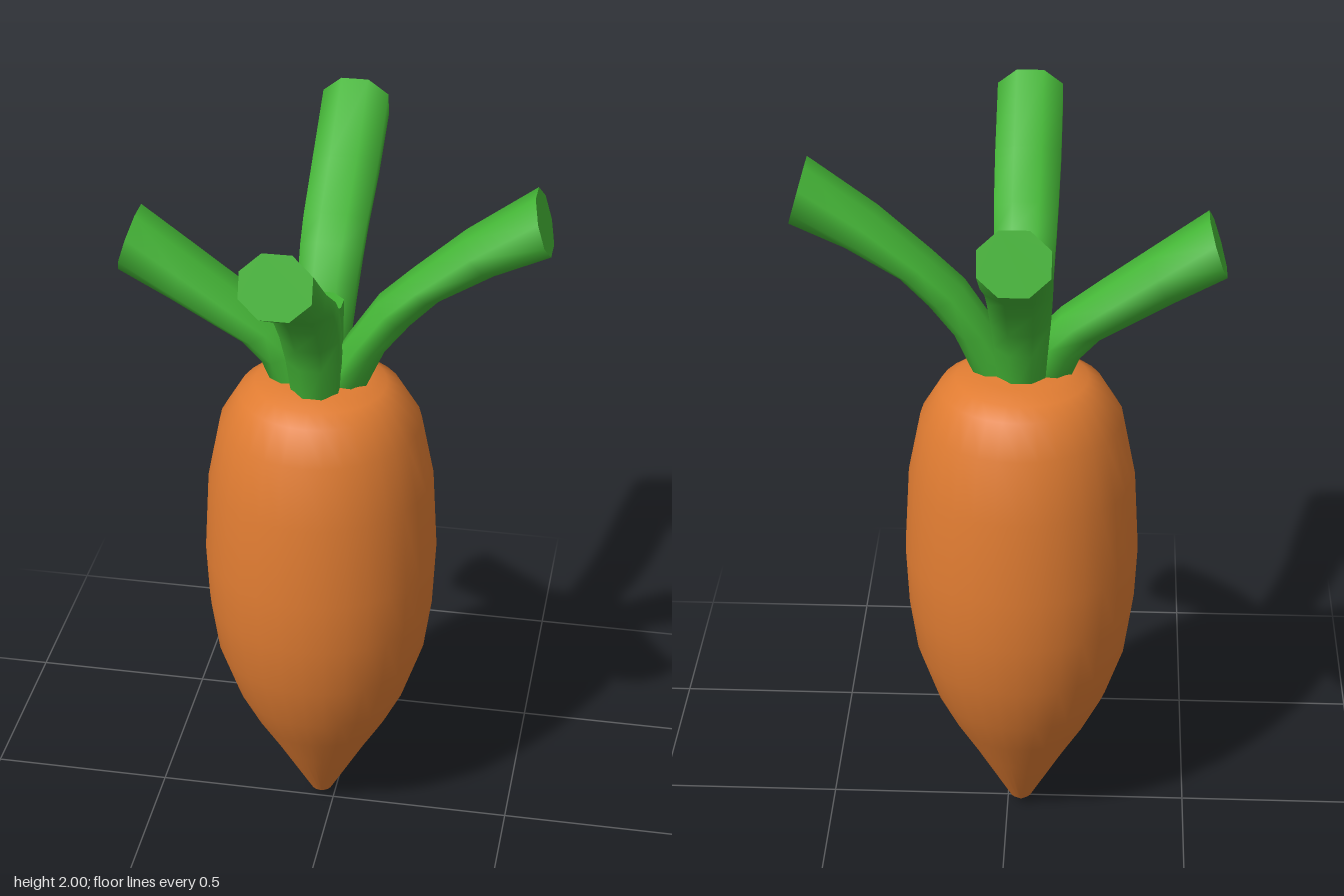
import * as THREE from 'three';

const SIDES = 8;

// Stalk grown along +x. Each station: upper edge (r, y), lower edge (r, y), half width.
function stalkGeometry(stations) {
  const pos = [], index = [];
  const k = 1 / Math.cos(Math.PI / SIDES);
  const addRing = ([ur, uy, lr, ly, w]) => {
    for (let j = 0; j < SIDES; j++) {
      const a = ((j + 0.5) / SIDES) * Math.PI * 2;
      const c = Math.cos(a) * k, s = Math.sin(a) * k;
      pos.push((ur + lr) / 2 + c * (ur - lr) / 2, (uy + ly) / 2 + c * (uy - ly) / 2, s * w);
    }
  };
  stations.forEach(addRing);
  for (let i = 0; i < stations.length - 1; i++) {
    for (let j = 0; j < SIDES; j++) {
      const n = (j + 1) % SIDES;
      const a = i * SIDES + j, b = i * SIDES + n;
      index.push(a, b, b + SIDES, a, b + SIDES, a + SIDES);
    }
  }
  // flat cut end with its own vertices, so its rim stays sharp
  const start = pos.length / 3;
  addRing(stations[stations.length - 1]);
  for (let j = 1; j < SIDES - 1; j++) index.push(start, start + j, start + j + 1);
  const g = new THREE.BufferGeometry();
  g.setAttribute('position', new THREE.Float32BufferAttribute(pos, 3));
  g.setIndex(index);
  g.computeVertexNormals();
  return g;
}

export function createModel() {
  const group = new THREE.Group();
  const orange = new THREE.MeshStandardMaterial({ color: 0xe07c32 });
  const green = new THREE.MeshStandardMaterial({ color: 0x44b536 });
  const cx = -0.037;

  const add = (name, geometry, material, x, y, z, turn = 0) => {
    const mesh = new THREE.Mesh(geometry, material);
    mesh.name = name;
    mesh.position.set(x, y, z);
    mesh.rotation.y = turn;
    group.add(mesh);
  };

  // Root: rounded shoulders tapering to a point
  const profile = [
    [0, 0], [0.03, 0.025], [0.127, 0.2], [0.186, 0.3], [0.238, 0.405], [0.287, 0.55],
    [0.308, 0.7], [0.315, 0.85], [0.302, 1.08], [0.268, 1.25], [0.217, 1.335],
    [0.175, 1.362], [0.12, 1.382], [0, 1.39],
  ].map(([r, y]) => new THREE.Vector2(r, y));
  add('root', new THREE.LatheGeometry(profile, 32), orange, cx, 0, -0.022);

  // Four bent stalks
  const tall = stalkGeometry([
    [-0.02, 1.36, 0.1, 1.34, 0.06], [0.02, 1.5, 0.13, 1.47, 0.07],
    [0.08, 1.625, 0.165, 1.545, 0.077], [0.15, 1.7, 0.225, 1.63, 0.082],
    [0.217, 1.75, 0.286, 1.69, 0.085], [0.36, 1.85, 0.43, 1.765, 0.088],
    [0.535, 2, 0.584, 1.85, 0.088],
  ]);
  const leaning = stalkGeometry([
    [-0.01, 1.36, 0.11, 1.34, 0.055], [0.07, 1.5, 0.174, 1.485, 0.07],
    [0.15, 1.62, 0.24, 1.57, 0.078], [0.235, 1.7, 0.312, 1.645, 0.084],
    [0.37, 1.82, 0.45, 1.73, 0.088], [0.547, 1.95, 0.592, 1.795, 0.088],
  ]);
  const low = stalkGeometry([
    [-0.01, 1.36, 0.115, 1.34, 0.055], [0.035, 1.48, 0.15, 1.425, 0.068],
    [0.1, 1.545, 0.2, 1.48, 0.077], [0.2, 1.62, 0.275, 1.525, 0.084],
    [0.33, 1.715, 0.385, 1.59, 0.088], [0.473, 1.82, 0.523, 1.665, 0.088],
  ]);
  add('frontStalk', tall, green, cx, 0, 0, -Math.PI / 2);
  add('backStalk', tall, green, cx, 0, 0, Math.PI / 2);
  add('leftStalk', leaning, green, cx, 0, -0.012);
  add('rightStalk', low, green, cx, 0, -0.012, Math.PI);

  // Short cut stub between the stalks
  const stub = new THREE.CylinderGeometry(0.064, 0.06, 0.24, SIDES);
  add('centreStub', stub, green, cx, 1.48, -0.01, Math.PI / SIDES);

  return group;
}
